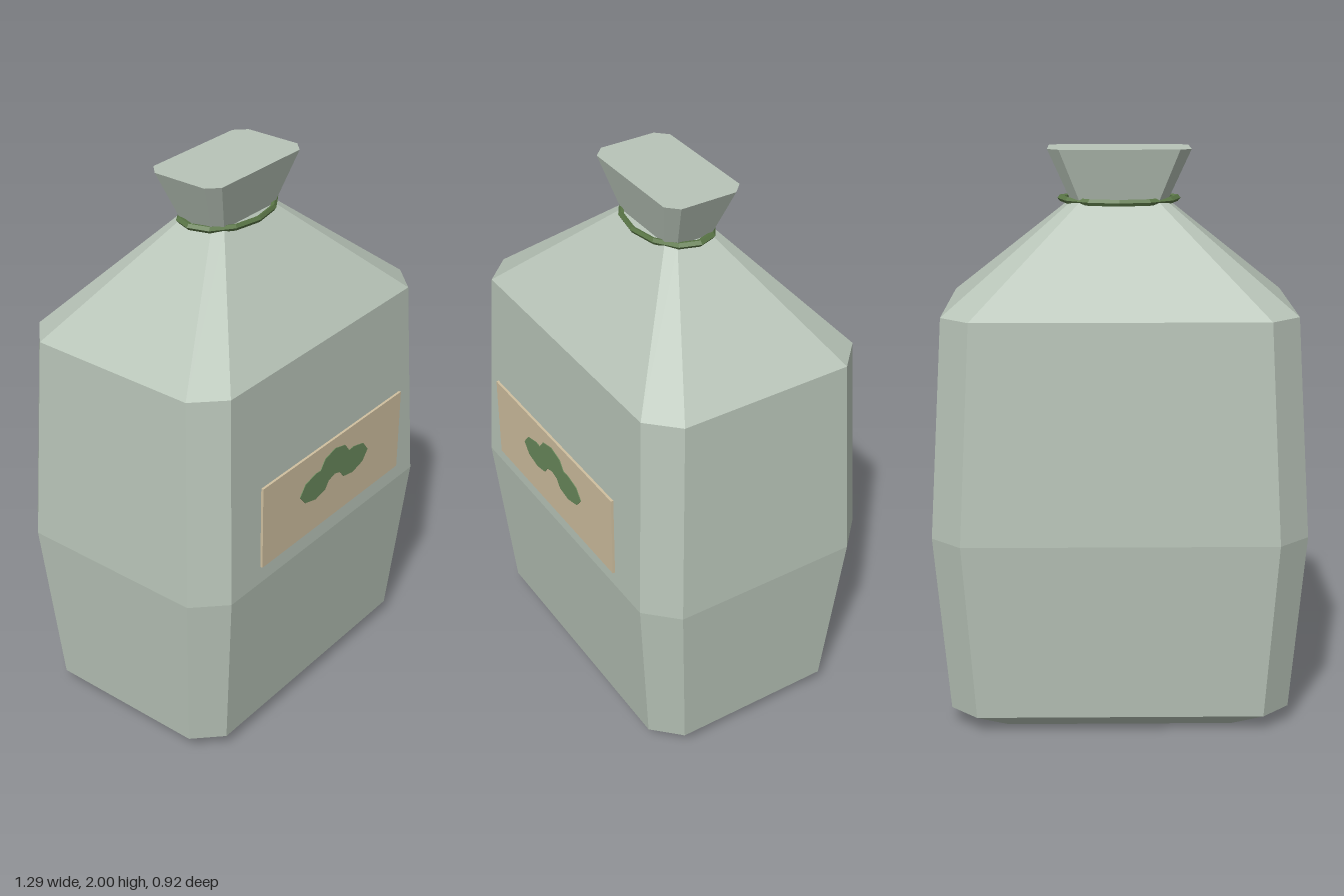
import * as THREE from 'three';

const mat = (name, color) => {
  const m = new THREE.MeshStandardMaterial({ color });
  m.name = name;
  return m;
};

// Chamfered rectangle, counter-clockwise seen from above
function section([y, hx, hz, c]) {
  const a = hx - c, b = hz - c;
  return [[hx, b], [hx, -b], [a, -hz], [-a, -hz], [-hx, -b], [-hx, b], [-a, hz], [a, hz]]
    .map(([x, z]) => [x, y, z]);
}

// Skin stacked sections with flat faces and close both ends
function loft(sections) {
  const rings = sections.map(section), pos = [];
  const tri = (...corners) => corners.forEach((p) => pos.push(...p));
  for (let r = 0; r < rings.length - 1; r++) {
    for (let i = 0; i < 8; i++) {
      const j = (i + 1) % 8, lo = rings[r], hi = rings[r + 1];
      tri(lo[i], lo[j], hi[j]);
      tri(lo[i], hi[j], hi[i]);
    }
  }
  const bottom = rings[0], top = rings[rings.length - 1];
  for (let i = 1; i < 7; i++) {
    tri(bottom[0], bottom[i + 1], bottom[i]);
    tri(top[0], top[i], top[i + 1]);
  }
  const g = new THREE.BufferGeometry();
  g.setAttribute('position', new THREE.Float32BufferAttribute(pos, 3));
  g.computeVertexNormals();
  return g;
}

export function createModel() {
  const group = new THREE.Group();
  const cloth = mat('pale grey-green cloth', 0xb8c4b8);
  const paper = mat('tan paper', 0xd0c0a0);
  const leaf = mat('leaf green', 0x6a8a5c);
  const cord = mat('cord green', 0x5c7848);
  const add = (name, geometry, material, x, y, z) => {
    const mesh = new THREE.Mesh(geometry, material);
    mesh.name = name;
    mesh.position.set(x, y, z);
    group.add(mesh);
    return mesh;
  };

  // Sack: y, half width, half depth, corner chamfer
  add('sack', loft([
    [0, 0.465, 0.315, 0.07],
    [0.06, 0.595, 0.395, 0.095],
    [0.7, 0.645, 0.45, 0.105],
    [1.46, 0.6, 0.415, 0.1],
    [1.82, 0.165, 0.095, 0.03],
    [2, 0.245, 0.143, 0.04],
  ]), cloth, 0, 0, -0.024);

  // Cord around the neck, sagging slightly at front and back
  const ring = new THREE.TorusGeometry(1, 0.07, 5, 12).toNonIndexed();
  ring.rotateX(Math.PI / 2);
  const p = ring.attributes.position;
  for (let i = 0; i < p.count; i++) {
    const x = p.getX(i), z = p.getZ(i);
    p.setXYZ(i, x * 0.2, p.getY(i) * 0.17 - 0.006 * Math.abs(z), z * 0.131);
  }
  ring.computeVertexNormals();
  add('neckCord', ring, cord, 0, 1.826, -0.022);

  // Front label
  add('label', new THREE.BoxGeometry(0.805, 0.315, 0.009), paper, 0, 0.942, 0.444);

  // Three-lobed emblem: right half of the outline, mirrored
  const half = [
    [0, 1.06], [0.058, 1.045], [0.085, 1.01], [0.11, 1.013], [0.17, 0.998], [0.2, 0.96],
    [0.17, 0.923], [0.11, 0.907], [0.055, 0.918], [0.034, 0.946], [0, 0.956],
  ];
  const outline = [...half, ...half.slice(1, -1).reverse().map(([x, y]) => [-x, y])];
  const shape = new THREE.Shape(outline.map(([x, y]) => new THREE.Vector2(x, y)));
  add('leafEmblem', new THREE.ExtrudeGeometry(shape, { depth: 0.003, bevelEnabled: false }), leaf, 0, 0, 0.448);

  return group;
}
